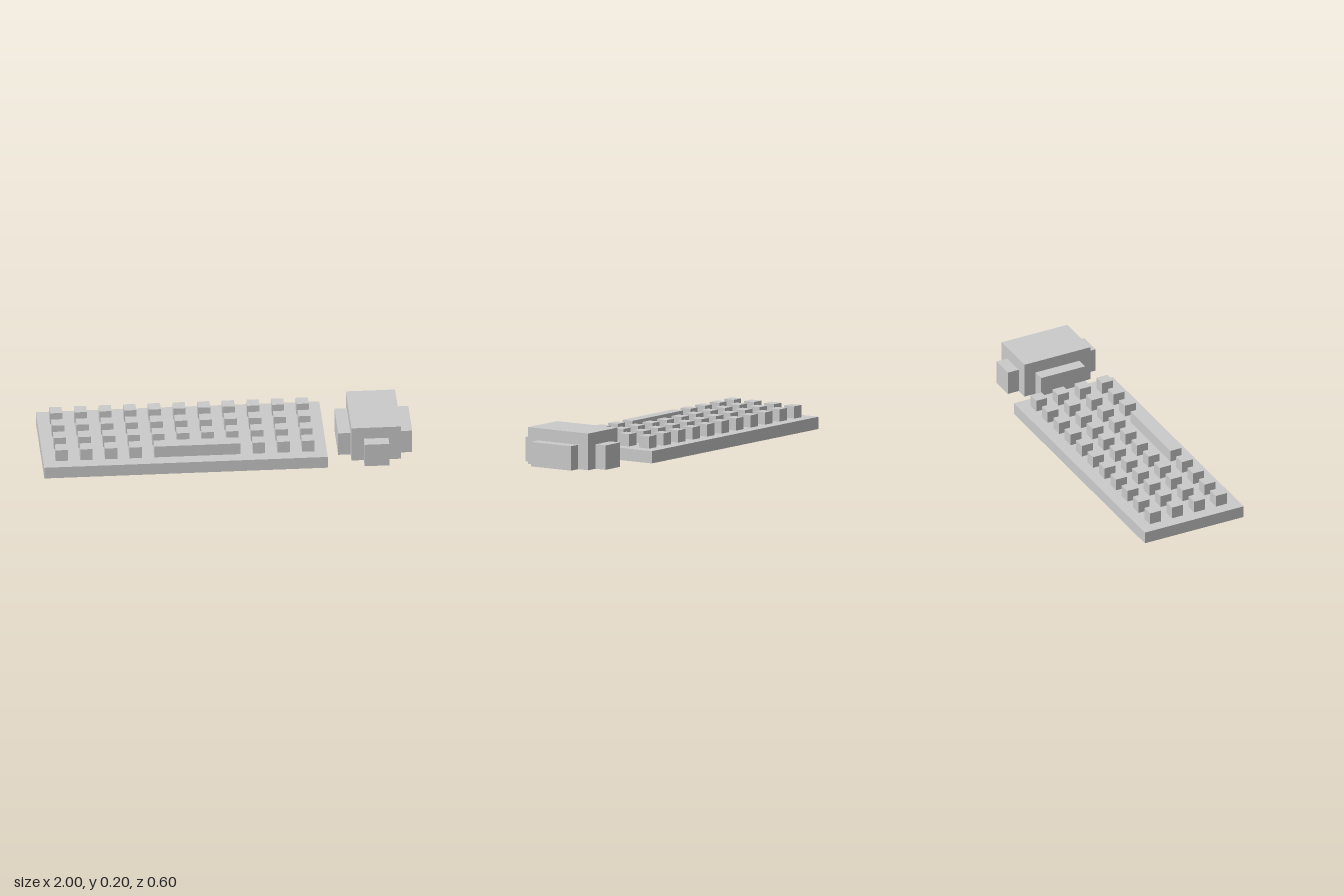
import * as THREE from 'three';

const U = 1 / 15; // block size that everything is built on

export function createModel() {
  const model = new THREE.Group();
  model.name = 'keyboardAndMouse';
  const material = new THREE.MeshStandardMaterial({ color: 0xcccccc, flatShading: true });

  // Box given by its minimum and maximum corners, in blocks
  function addBox(parent, name, [x0, y0, z0], [x1, y1, z1]) {
    const geometry = new THREE.BoxGeometry((x1 - x0) * U, (y1 - y0) * U, (z1 - z0) * U);
    const mesh = new THREE.Mesh(geometry, material);
    mesh.position.set((x0 + x1) / 2, (y0 + y1) / 2, (z0 + z1) / 2).multiplyScalar(U);
    mesh.name = name;
    parent.add(mesh);
  }

  // Keyboard: a flat base with four rows of keys
  const keyboard = new THREE.Group();
  keyboard.name = 'keyboard';
  model.add(keyboard);
  addBox(keyboard, 'keyboardBase', [-15, 0, -4.5], [8, 1, 4.5]);

  for (let row = 0; row < 4; row++) {
    for (let col = 0; col < 11; col++) {
      if (row === 3 && col >= 4 && col <= 7) continue; // room for the space bar
      const x = -14 + col * 2;
      const z = -3.5 + row * 2;
      addBox(keyboard, 'key', [x, 1, z], [x + 1, 2, z + 1]);
    }
  }
  addBox(keyboard, 'spaceBar', [-6, 1, 2.5], [1, 2, 3.5]);

  // Mouse: a tall body with a lower step on each side
  const mouse = new THREE.Group();
  mouse.name = 'mouse';
  mouse.position.set(12 * U, 0, 0.5 * U);
  model.add(mouse);
  addBox(mouse, 'mouseBody', [-2, 0, -3], [2, 3, 3]);
  addBox(mouse, 'mouseRightStep', [-3, 0, -2], [-2, 2, 2]);
  addBox(mouse, 'mouseLeftStep', [2, 0, -2], [3, 2, 2]);
  addBox(mouse, 'mouseFrontStep', [-1, 0, 3], [1, 2, 4]);
  addBox(mouse, 'mouseBackStep', [-1, 0, -4], [1, 2, -3]);

  return model;
}
